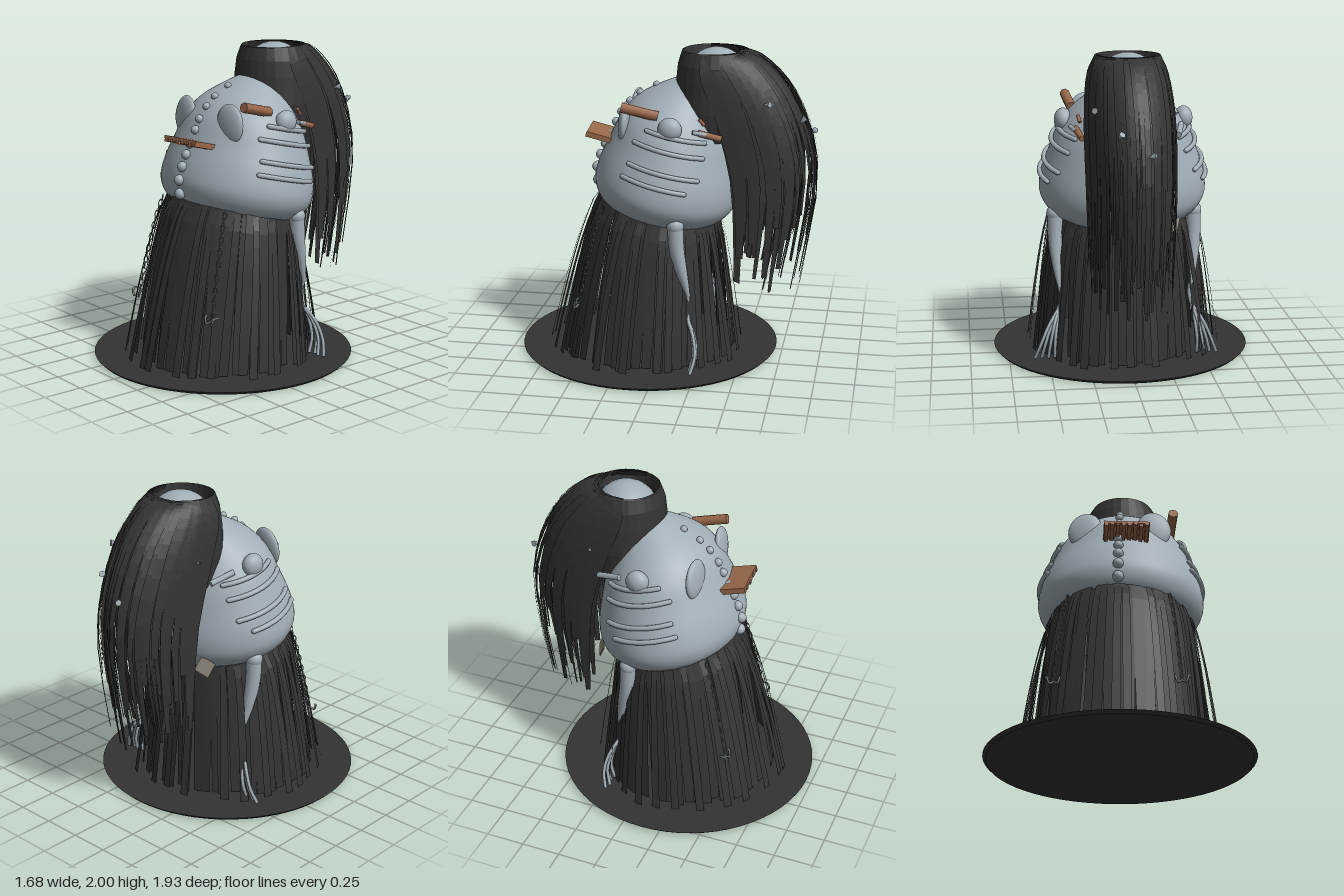
import * as THREE from 'three';
import { mergeGeometries } from 'three/addons/utils/BufferGeometryUtils.js';

const V = (x, y, z) => new THREE.Vector3(x, y, z);

export function createModel() {
  const model = new THREE.Group();
  const mat = (name, color, side = THREE.FrontSide) =>
    Object.assign(new THREE.MeshStandardMaterial({ color, side }), { name });
  const skin = mat('pale grey', 0xa2afb7);
  const metal = mat('dull metal', 0x74797d);
  const hairMat = mat('charcoal fibre', 0x343434, THREE.DoubleSide);
  const baseMat = mat('base charcoal', 0x333333);
  const wood = mat('brown wood', 0x9b6a4b);
  const paper = mat('beige', 0x8f897c);

  let seed = 7;
  const rnd = () => (seed = (seed * 16807) % 2147483647) / 2147483647;

  const add = (name, geo, material, pos, rot) => {
    const m = new THREE.Mesh(geo, material);
    m.name = name;
    if (pos) m.position.set(...pos);
    if (rot) m.rotation.set(...rot);
    model.add(m);
    return m;
  };
  const tube = (name, pts, r, material) =>
    add(name, new THREE.TubeGeometry(new THREE.CatmullRomCurve3(pts), 20, r, 8), material);

  // Grid geometry from a surface function f(i, j)
  const grid = (f, rows, cols, wrap) => {
    const pos = [], idx = [], n = wrap ? cols : cols + 1;
    for (let i = 0; i <= rows; i++)
      for (let j = 0; j < n; j++) pos.push(...f(i / rows, j / cols).toArray());
    for (let i = 0; i < rows; i++)
      for (let j = 0; j < cols; j++) {
        const a = i * n + j, b = i * n + (j + 1) % n;
        idx.push(a, b, a + n, b, b + n, a + n);
      }
    const g = new THREE.BufferGeometry();
    g.setAttribute('position', new THREE.Float32BufferAttribute(pos, 3));
    g.setIndex(idx);
    g.computeVertexNormals();
    return g;
  };
  const flat = (g) => { const f = g.toNonIndexed(); f.computeVertexNormals(); return f; };

  // Round base
  add('base', new THREE.CylinderGeometry(0.84, 0.82, 0.02, 64), baseMat, [0, 0.01, 0.13]);

  // Bulbous body: tilted rings, each point holding (centre z, centre y, half width)
  const rings = new THREE.CatmullRomCurve3([
    [0.05, 0.93, 0.002], [0.06, 0.935, 0.26], [0.06, 0.96, 0.45], [0.03, 1.06, 0.53],
    [0, 1.18, 0.53], [-0.03, 1.35, 0.475], [-0.05, 1.5, 0.415], [-0.075, 1.62, 0.325],
    [-0.12, 1.72, 0.205], [-0.16, 1.79, 0.095], [-0.17, 1.812, 0.002],
  ].map((p) => V(...p)));
  const bodyPoint = (a, t, grow = 0) => {
    const r = rings.getPoint(t), hx = Math.max(r.z, 0.001) + grow, dz = hx * 0.84 * Math.cos(a);
    return V(hx * Math.sin(a), r.y + 0.23 * dz, r.x + dz);
  };
  const rowAt = (y, a) => {
    let t = 0.2;
    while (t < 1 && bodyPoint(a, t).y < y) t += 0.004;
    return t;
  };
  add('body', grid((i, j) => bodyPoint(j * Math.PI * 2, i), 40, 56, true), skin);

  // Row of studs down the front
  [1.1, 1.19, 1.27, 1.34, 1.41, 1.49, 1.56, 1.63, 1.69, 1.745].forEach((y, i) => {
    const p = bodyPoint(0, rowAt(y, 0), 0.004);
    add('frontStud', new THREE.SphereGeometry(0.036 - i * 0.0015, 14, 10), skin, p.toArray());
  });

  for (const s of [-1, 1]) {
    // Flattened eyes and side knobs
    add('eye', new THREE.SphereGeometry(1, 24, 16), skin, [s * 0.225, 1.55, 0.252], [-0.1, s * 0.12, s * 0.25])
      .scale.set(0.108, 0.127, 0.036);
    add('sideKnob', new THREE.SphereGeometry(1, 20, 14), skin, [s * 0.385, 1.55, -0.065])
      .scale.set(0.057, 0.075, 0.075);

    // Ribs hugging the flanks
    [[1.51, 1.2, 2.25], [1.42, 1.05, 2.2], [1.29, 1.08, 2.12], [1.21, 1.05, 1.95]].forEach(([y, a, b]) => {
      const t = rowAt(y, Math.PI / 2), pts = [];
      for (let k = 0; k <= 8; k++) pts.push(bodyPoint(s * (a + (b - a) * k / 8), t, 0.011));
      tube('rib', pts, 0.016, skin);
      for (const e of [pts[0], pts[8]])
        add('ribEnd', new THREE.SphereGeometry(0.016, 8, 6), skin, e.toArray());
    });

    // Arm tapering to a point, a thin forearm tucked in the skirt, and a fanned hand
    const arm = new THREE.CatmullRomCurve3([
      V(s * 0.425, 0.49, -0.19), V(s * 0.438, 0.65, -0.15), V(s * 0.445, 0.8, -0.12), V(s * 0.445, 0.96, -0.11)]);
    add('arm', grid((i, j) => {
      const r = 0.05 * (1 - 0.75 * Math.pow(1 - i, 2.6)), a = j * Math.PI * 2;
      return arm.getPoint(i).add(V(r * Math.sin(a), 0, r * Math.cos(a)));
    }, 14, 14, true), skin);
    add('shoulder', new THREE.SphereGeometry(0.055, 16, 12), skin, [s * 0.445, 0.955, -0.11]);
    tube('forearm', [V(s * 0.425, 0.51, -0.185), V(s * 0.415, 0.42, -0.185), V(s * 0.435, 0.33, -0.19)], 0.014, skin);
    for (let k = 0; k < 4; k++) {
      const d = (k - 1.5) * 0.03, z = (k % 2) * 0.012;
      tube('finger', [V(s * 0.435, 0.34, -0.19), V(s * (0.475 + d * 0.6), 0.24, -0.225 - z),
        V(s * (0.505 + d), 0.13, -0.24 - z), V(s * (0.525 + d * 1.4), 0.03, -0.215 - z)], 0.011, skin);
    }
  }

  // Strand: a narrow patch of a surface f(u, t), tapering toward its tip
  const strand = (f, u, w, t1, steps, tip) => flat(grid(
    (i, j) => f(u + (j - 0.5) * w * (1 - (1 - tip) * i * i), i * t1), steps, 1, false));

  // Fibre skirt hanging from the underside of the body
  const skirtPoint = (flare, lift = 1) => (a, t) => {
    const m = THREE.MathUtils.lerp;
    const hx = m(0.445, 0.555 * flare, Math.pow(t, 0.62)) * lift;
    const hz = m(0.385, 0.555 * flare, Math.pow(t, 0.75)) * lift;
    const z = m(0.06, 0.14, Math.pow(t, 0.75)) + hz * Math.cos(a);
    return V(hx * Math.sin(a), m(0.975 + 0.23 * (z - 0.06), 0.015, t), z);
  };
  const skirt = [];
  for (let k = 0; k < 56; k++)
    skirt.push(strand(skirtPoint(0.92 + rnd() * 0.14, 0.985 + rnd() * 0.03),
      (k + rnd() * 0.5) / 56 * Math.PI * 2, 0.15, 0.985 + rnd() * 0.015, 8, 0.72));
  for (let k = 0; k < 26; k++)
    skirt.push(strand(skirtPoint(1.07 + rnd() * 0.11), (k + rnd()) / 26 * Math.PI * 2, 0.09, 1, 10, 0.9));
  add('skirt', mergeGeometries(skirt), hairMat);

  // Chains lying on the skirt, ending in hooks
  for (const s of [-1, 1]) {
    const f = skirtPoint(1.06, 1.025);
    for (let k = 0; k < 17; k++) {
      const link = add('chainLink', new THREE.TorusGeometry(0.016, 0.004, 5, 10), metal,
        f(s * 0.74, 0.04 + k * 0.037).toArray(), [-0.2, s * 0.74 + (k % 2) * Math.PI / 2, 0]);
      link.scale.set(0.7, 1.4, 1);
    }
    for (const d of [-1, 1]) {
      const e = f(s * 0.74, 0.66);
      tube('chainHook', [e, e.clone().add(V(d * 0.025, -0.02, 0.025)), e.clone().add(V(d * 0.04, 0.02, 0.02)),
        e.clone().add(V(d * 0.05, 0.025, -0.01))], 0.007, metal);
    }
  }

  // Crown dome inside the hair collar
  add('crown', new THREE.SphereGeometry(0.205, 24, 16), skin, [0, 1.795, -0.3]);

  // Hair collar around the crown
  const collar = [[1.44, 0.255, 0.25], [1.62, 0.27, 0.262], [1.8, 0.255, 0.25], [1.9, 0.24, 0.24],
    [1.98, 0.205, 0.215], [1.985, 0.2, 0.205], [1.9, 0.19, 0.195]];
  add('hairCollar', flat(grid((i, j) => {
    const [y, rx, rz] = collar[Math.round(i * 6)], a = j * Math.PI * 2;
    return V(rx * Math.sin(a), y, -0.295 + rz * Math.cos(a));
  }, 6, 28, true)), hairMat);

  // Long hair: blends from a side path (|u| = 1) to the back path (u = 0)
  const sidePath = new THREE.CatmullRomCurve3([V(0.2, 1.985, -0.24), V(0.25, 1.87, -0.22),
    V(0.28, 1.6, -0.31), V(0.28, 1.2, -0.4), V(0.26, 0.54, -0.43)]);
  const backPath = new THREE.CatmullRomCurve3([V(0.2, 1.985, -0.495), V(0.24, 1.95, -0.6),
    V(0.28, 1.74, -0.8), V(0.28, 1.28, -0.96), V(0.26, 0.42, -0.86)]);
  const hairPoint = (depth) => (u, t) => {
    const c = Math.pow(Math.max(0, Math.cos(u * Math.PI / 2)), 0.75);
    const p = sidePath.getPoint(t).lerp(backPath.getPoint(t), c);
    p.x *= Math.sin(u * Math.PI / 2) * (1 - depth * 0.5);
    p.z += depth * (0.2 + t) * c;
    return p;
  };
  const hair = [];
  for (let layer = 0; layer < 3; layer++)
    for (let k = 0; k < 38; k++) {
      const u = THREE.MathUtils.clamp(((k + rnd()) / 38) * 2 - 1, -0.95, 0.95);
      hair.push(strand(hairPoint(layer * 0.09 + rnd() * 0.05), u, 0.09 + rnd() * 0.03,
        0.84 + rnd() * 0.16 - (rnd() < 0.25 ? 0.18 : 0), 12, 0.3 + rnd() * 0.25));
    }
  add('longHair', mergeGeometries(hair), hairMat);

  // Small ornaments caught in the hair
  [[-0.9, 0.5], [0.6, 0.5], [0.25, 0.6], [-0.15, 0.66]].forEach(([u, t], i) =>
    add('hairOrnament', new THREE.ConeGeometry(0.022, 0.055, 5), skin, hairPoint(0)(u, t).toArray(), [0.6 * i, i, 1.2]));

  // Wooden comb with uneven teeth
  const comb = new THREE.Group();
  comb.name = 'comb';
  const part = (name, w, h, d, x, y, z) => {
    const m = new THREE.Mesh(new THREE.BoxGeometry(w, h, d), wood);
    m.name = name;
    m.position.set(x, y, z);
    comb.add(m);
  };
  part('combPlate', 0.29, 0.018, 0.17, 0, 0.002, 0);
  for (let k = 0; k < 8; k++)
    part('combTooth', 0.024, 0.022, 0.165, -0.128 + k * 0.0365, -0.017 + (k % 3) * 0.004, 0.005 * (k % 2));
  comb.position.set(0.05, 1.438, 0.43);
  comb.rotation.set(-0.26, 0.08, 0.02);
  model.add(comb);

  // Wooden pegs and pale pins
  const peg = (name, a, b, r, m) => {
    const d = b.clone().sub(a);
    const mesh = add(name, new THREE.CylinderGeometry(r, r, d.length(), 8), m, a.clone().lerp(b, 0.5).toArray());
    mesh.quaternion.setFromUnitVectors(V(0, 1, 0), d.normalize());
  };
  peg('woodPeg', V(0.35, 1.67, 0.245), V(0.325, 1.615, 0.02), 0.032, wood);
  peg('sidePeg', V(0.32, 1.52, -0.23), V(0.29, 1.48, -0.37), 0.02, wood);
  peg('shortPeg', V(0.305, 1.605, -0.235), V(0.295, 1.565, -0.265), 0.012, wood);
  peg('palePin', V(-0.35, 1.53, -0.2), V(-0.31, 1.49, -0.36), 0.019, skin);
  peg('smallPin', V(0.35, 1.53, -0.2), V(0.32, 1.51, -0.28), 0.014, skin);

  // Small tag under the back
  add('tag', new THREE.BoxGeometry(0.1, 0.1, 0.008), paper, [-0.27, 0.93, -0.37], [0.3, 0.5, 0.3]);

  return model;
}
